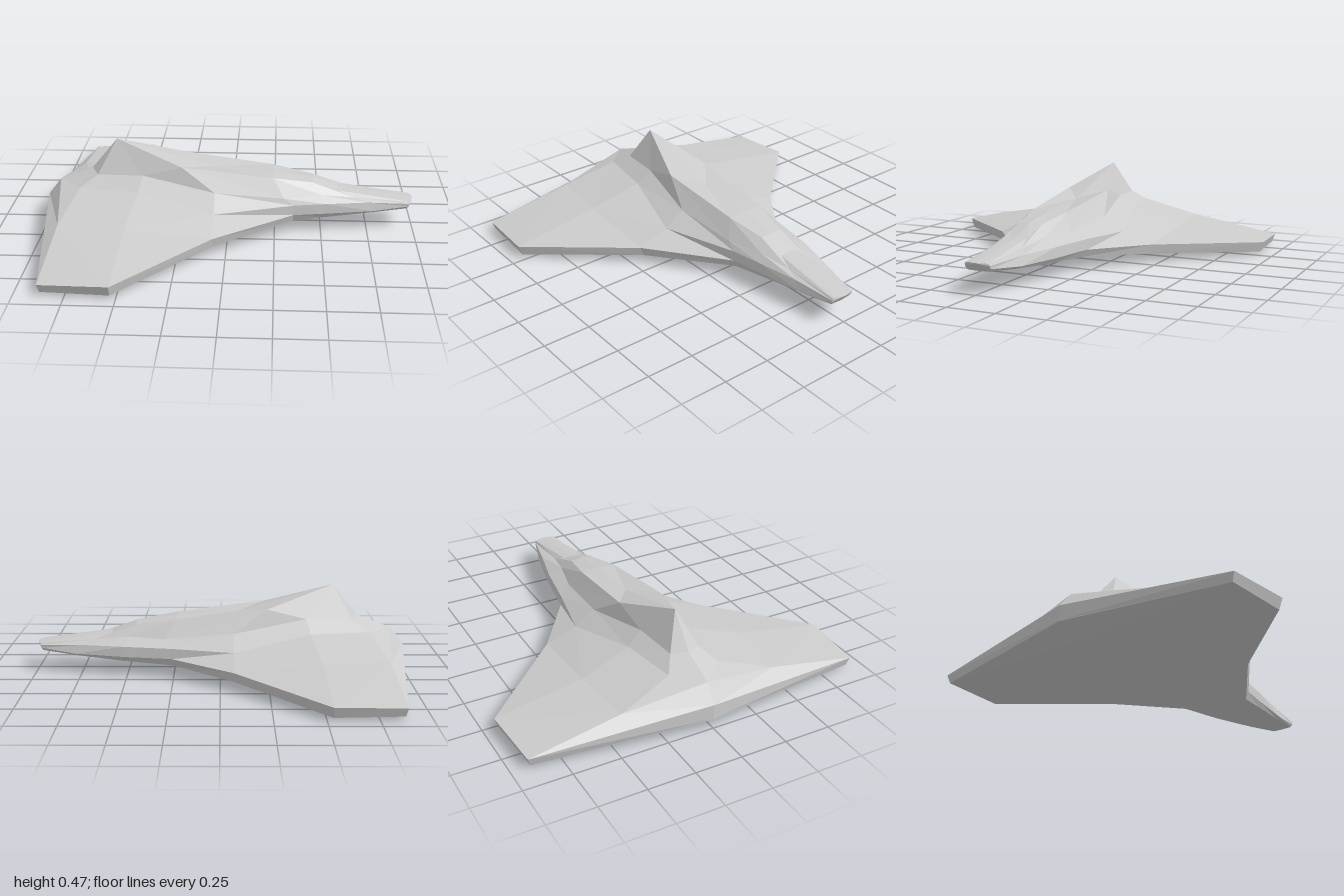
import * as THREE from 'three';

// Hull lines of one half, each running from tail to nose (x, y, z)
const spine = [[-.75, .30, 0], [-.61, .47, 0], [-.61, .47, 0], [-.09, .32, 0],
  [.24, .30, 0], [.46, .265, 0], [.59, .213, 0], [1, .157, 0]];
const ridge = [[-.75, .30, 0], [-.71, .29, .08], [-.46, .30, .11], [-.25, .355, .12],
  [.24, .295, .10], [.45, .26, .065], [.59, .21, .05], [.99, .157, .04]];
const shoulder = [[-.93, .23, 0], [-.80, .235, .14], [-.48, .235, .19], [-.07, .235, .18],
  [.30, .20, .155], [.50, .205, .11], [.68, .18, .075], [.98, .155, .062]];
const midWing = [[-1, .14, 0], [-.87, .15, .43], [-.52, .15, .47], [-.07, .16, .29],
  [.35, .165, .165], [.52, .165, .137], [.75, .16, .095], [.98, .145, .068]];
const rim = [[-1, .06, 0], [-.88, .065, .92], [-.53, .075, .945], [-.07, .10, .46],
  [.35, .11, .167], [.52, .11, .14], [.78, .112, .10], [.975, .13, .068]];
const keelEdge = [[-1, .055, 0], [-.87, .02, .905], [-.53, .02, .925], [-.07, .05, .445],
  [.35, .07, .15], [.52, .083, .125], [.78, .10, .085], [.965, .115, .06]];
const keel = [[-1, .055, 0], [-.86, .005, 0], [-.53, .004, 0], [-.07, .04, 0],
  [.35, .07, 0], [.52, .083, 0], [.78, .10, 0], [.97, .115, 0]];

// The -z flank of the nose is fuller: z scale and x shift per station
const fuller = { 4: [1.36, -.09], 5: [1.32, 0], 6: [1.28, 0] };
function place(line, side, swell) {
  return line.map(([x, y, z], i) => {
    const [k, dx] = side < 0 && swell && fuller[i] ? fuller[i] : [1, 0];
    return new THREE.Vector3(x + dx, y, z * k * side);
  });
}

const material = new THREE.MeshStandardMaterial({ color: 0xcccccc, flatShading: true });

// Mesh from triangles; empty ones are dropped, and the mirrored half is turned over
function facets(name, triangles, side) {
  const points = [];
  for (const [a, b, c] of triangles) {
    if (new THREE.Triangle(a, b, c).getArea() < 1e-7) continue;
    points.push(...(side > 0 ? [a, b, c] : [a, c, b]));
  }
  const geometry = new THREE.BufferGeometry().setFromPoints(points);
  geometry.computeVertexNormals();
  const mesh = new THREE.Mesh(geometry, material);
  mesh.name = name;
  return mesh;
}

// Panel strip between two neighbouring hull lines
function strip(name, inner, outer, side) {
  const triangles = [];
  for (let i = 0; i < inner.length - 1; i++) {
    const a = inner[i], b = inner[i + 1], c = outer[i + 1], d = outer[i];
    triangles.push([a, d, c], [a, c, b]);
  }
  return facets(name, triangles, side);
}

export function createModel() {
  const model = new THREE.Group();
  model.name = 'spacecraft';
  const panels = ['canopyDeck', 'fuselageSide', 'innerWing', 'outerWing', 'wingEdge', 'belly'];

  for (const side of [1, -1]) {
    const half = new THREE.Group();
    half.name = side > 0 ? 'frontHalf' : 'backHalf';
    const lines = [spine, ridge, shoulder, midWing, rim, keelEdge, keel]
      .map((line, j) => place(line, side, j >= 3 && j <= 5));
    panels.forEach((name, j) => half.add(strip(name, lines[j], lines[j + 1], side)));

    // Blunt nose cap
    const end = lines.map((line) => line[line.length - 1]);
    const cap = [];
    for (let j = 1; j < end.length - 1; j++) cap.push([end[0], end[j], end[j + 1]]);
    half.add(facets('noseCap', cap, side));
    model.add(half);
  }
  return model;
}
